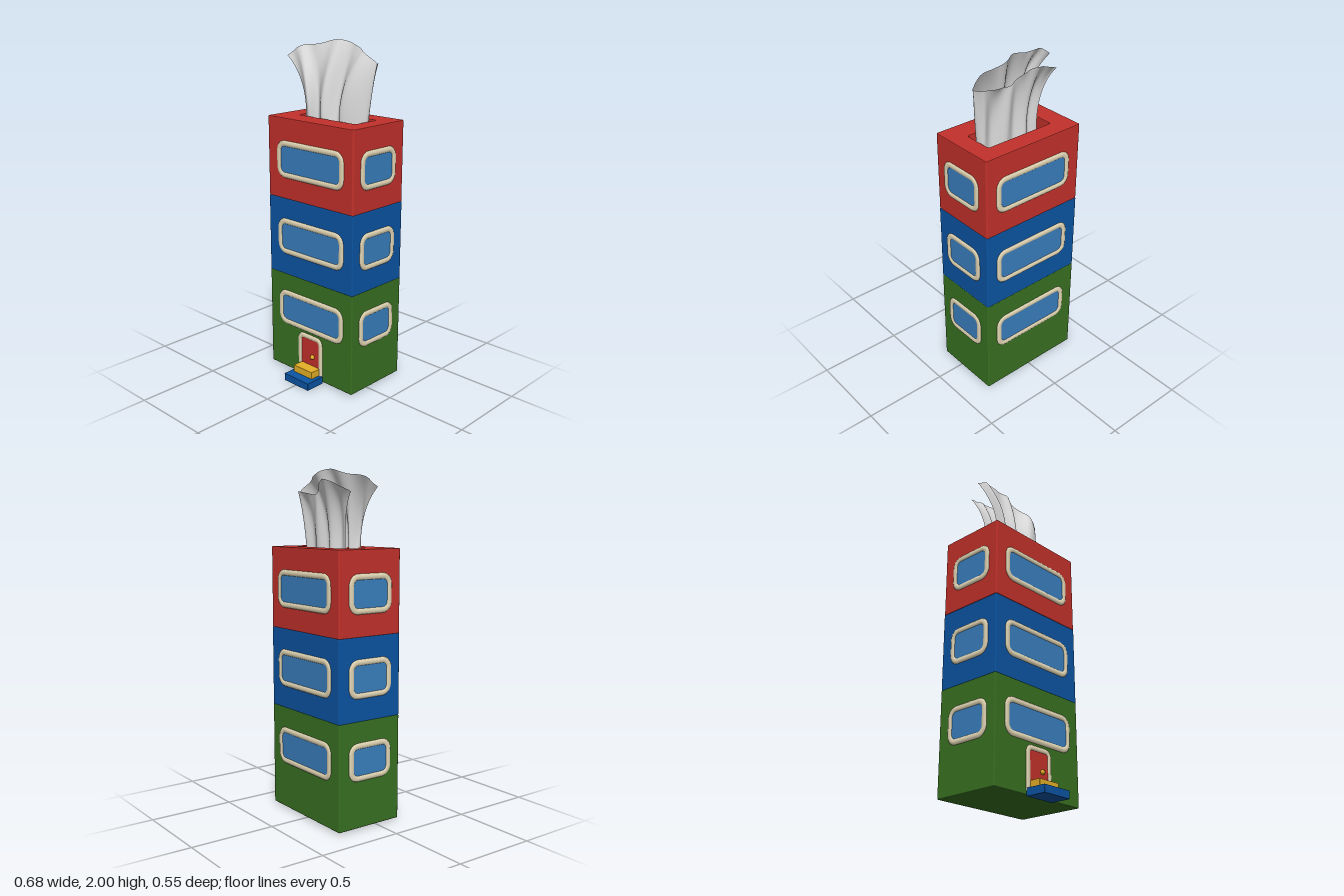
import * as THREE from 'three';
import { RoundedBoxGeometry } from 'three/addons/geometries/RoundedBoxGeometry.js';

const W = 0.666, D = 0.422, CZ = -0.061; // tower width, depth and centre in z

const mat = (name, color, side = THREE.FrontSide) => {
  const m = new THREE.MeshStandardMaterial({ color, side });
  m.name = name;
  return m;
};

function roundRect(w, h, r, Type = THREE.Shape, cx = 0, cy = 0) {
  const s = new Type(), x = cx - w / 2, y = cy - h / 2;
  s.moveTo(x + r, y);
  s.lineTo(x + w - r, y);
  s.absarc(x + w - r, y + r, r, -Math.PI / 2, 0);
  s.lineTo(x + w, y + h - r);
  s.absarc(x + w - r, y + h - r, r, 0, Math.PI / 2);
  s.lineTo(x + r, y + h);
  s.absarc(x + r, y + h - r, r, Math.PI / 2, Math.PI);
  s.lineTo(x, y + r);
  s.absarc(x + r, y + r, r, Math.PI, Math.PI * 1.5);
  return s;
}

export function createModel() {
  const group = new THREE.Group();
  const red = mat('red', 0xc4312b), blue = mat('blue', 0x0b55a4), green = mat('green', 0x397222);
  const glass = mat('glass blue', 0x3a80c0), cream = mat('cream', 0xe6dab8);
  const yellow = mat('yellow', 0xe6b026), white = mat('tissue white', 0xdedede, THREE.DoubleSide);

  const add = (parent, name, geo, material, x = 0, y = 0, z = 0) => {
    const m = new THREE.Mesh(geo, material);
    m.name = name;
    m.position.set(x, y, z);
    parent.add(m);
    return m;
  };

  // Lower and middle storeys
  const storey = (name, y0, y1, material) =>
    add(group, name, new RoundedBoxGeometry(W, y1 - y0, D, 2, 0.006), material, 0, (y0 + y1) / 2, CZ);
  storey('lowerStorey', 0.01, 0.625, green);
  storey('middleStorey', 0.62, 1.092, blue);

  // Top storey with the dispenser opening cut through its roof
  const b = 0.005;
  const plan = roundRect(W - 2 * b, D - 2 * b, 0.004);
  plan.holes.push(roundRect(0.44 + 2 * b, 0.175 + 2 * b, 0.02, THREE.Path, 0.005, 0.012));
  const roof = new THREE.ExtrudeGeometry(plan, {
    depth: 0.475 - 2 * b, bevelThickness: b, bevelSize: b, bevelSegments: 2, curveSegments: 5,
  });
  roof.rotateX(-Math.PI / 2);
  add(group, 'topStorey', roof, red, 0, 1.09 + b, CZ);
  add(group, 'tissueStack', new THREE.BoxGeometry(0.46, 0.38, 0.2), white, 0.005, 1.29, -0.073);

  // Windows: a flat pane inside a rounded cream frame
  const addWindow = (name, w, h, x, y, z, turn) => {
    const win = new THREE.Group();
    win.name = name;
    win.position.set(x, y, z);
    win.rotation.y = turn;
    const line = roundRect(w - 0.035, h - 0.035, 0.045);
    const pts = line.getSpacedPoints(72).slice(0, -1).map(p => new THREE.Vector3(p.x, p.y, 0));
    const frame = new THREE.TubeGeometry(new THREE.CatmullRomCurve3(pts, true), 96, 0.0175, 8, true);
    frame.scale(1, 1, 0.45);
    add(win, 'windowFrame', frame, cream);
    add(win, 'windowPane', new THREE.ShapeGeometry(line), glass, 0, 0, 0.002);
    group.add(win);
  };
  for (const [i, y] of [0.392, 0.86, 1.325].entries()) {
    addWindow('frontWindow', 0.525, 0.22, 0.003, i ? y : 0.408, CZ + D / 2, 0);
    addWindow('backWindow', 0.525, 0.22, 0.003, y, CZ - D / 2, Math.PI);
    for (const s of [-1, 1])
      addWindow(s > 0 ? 'leftWindow' : 'rightWindow', 0.295, 0.22, s * W / 2, y, -0.058, s * Math.PI / 2);
  }

  // Door with its surround and knob
  const surround = new THREE.CurvePath();
  const corners = [[-0.082, 0.03], [-0.082, 0.235], [-0.05, 0.269], [0.053, 0.269], [0.085, 0.235], [0.085, 0.03]]
    .map(([x, y]) => new THREE.Vector3(x, y, 0));
  const arc = (a, c, d) => new THREE.QuadraticBezierCurve3(a, c, d);
  surround.add(new THREE.LineCurve3(corners[0], corners[1]));
  surround.add(arc(corners[1], new THREE.Vector3(-0.082, 0.269, 0), corners[2]));
  surround.add(new THREE.LineCurve3(corners[2], corners[3]));
  surround.add(arc(corners[3], new THREE.Vector3(0.085, 0.269, 0), corners[4]));
  surround.add(new THREE.LineCurve3(corners[4], corners[5]));
  const doorFrame = new THREE.TubeGeometry(surround, 64, 0.016, 8, false);
  doorFrame.scale(1, 1, 0.5);
  add(group, 'doorFrame', doorFrame, cream, 0, 0, 0.15);
  add(group, 'door', new THREE.BoxGeometry(0.15, 0.22, 0.006), red, 0.002, 0.15, 0.15);
  add(group, 'doorKnob', new THREE.SphereGeometry(0.014, 14, 10), yellow, 0.025, 0.15, 0.157);

  // Front steps
  add(group, 'lowerStep', new RoundedBoxGeometry(0.198, 0.046, 0.125, 1, 0.003), blue, 0.004, 0.023, 0.212);
  add(group, 'upperStep', new RoundedBoxGeometry(0.15, 0.044, 0.07, 1, 0.003), yellow, 0.005, 0.068, 0.185);

  // Tissue: one sheet folded back on itself, lofted through three wavy lines
  const curve = pts => new THREE.CatmullRomCurve3(pts.map(p => new THREE.Vector3(...p)));
  const level = (y, pts) => curve(pts.map(([x, z]) => [x, y, z]));
  const base = level(1.47, [[-0.19, -0.01], [-0.14, 0], [-0.1, -0.025], [-0.02, 0.008], [0.05, -0.03], [0.11, 0],
    [0.22, -0.06], [0.21, -0.1], [0.15, -0.09], [0.07, -0.12], [0, -0.1], [-0.06, -0.13], [-0.11, -0.1], [-0.17, -0.1]]);
  const middle = level(1.72, [[-0.195, -0.005], [-0.145, 0.022], [-0.1, -0.035], [-0.03, 0.005], [0.05, -0.06], [0.12, -0.002],
    [0.25, -0.08], [0.22, -0.12], [0.15, -0.1], [0.07, -0.135], [0, -0.11], [-0.06, -0.14], [-0.12, -0.1], [-0.18, -0.115]]);
  const rim = curve([[-0.335, 1.895, -0.015], [-0.24, 1.955, -0.035], [-0.13, 1.97, -0.065], [0, 2, -0.093],
    [0.1, 1.975, -0.12], [0.19, 1.945, -0.085], [0.275, 1.885, -0.1], [0.24, 1.88, -0.14], [0.15, 1.87, -0.15],
    [0.06, 1.86, -0.14], [0, 1.91, -0.165], [-0.07, 1.94, -0.193], [-0.17, 1.91, -0.17], [-0.265, 1.87, -0.145]]);
  const sheet = new THREE.PlaneGeometry(1, 1, 130, 20);
  const pos = sheet.attributes.position, p = new THREE.Vector3();
  for (let i = 0; i < pos.count; i++) {
    const u = pos.getX(i) + 0.5, v = pos.getY(i) + 0.5;
    // Quadratic blend passing through base, middle and rim
    p.set(0, 0, 0)
      .addScaledVector(base.getPoint(u), 2 * (v - 0.5) * (v - 1))
      .addScaledVector(middle.getPoint(u), 4 * v * (1 - v))
      .addScaledVector(rim.getPoint(u), 2 * v * (v - 0.5));
    pos.setXYZ(i, p.x, p.y, p.z + 0.004 * Math.sin(u * 75 + v * 3) * v);
  }
  sheet.computeVertexNormals();
  add(group, 'tissue', sheet, white);

  return group;
}
